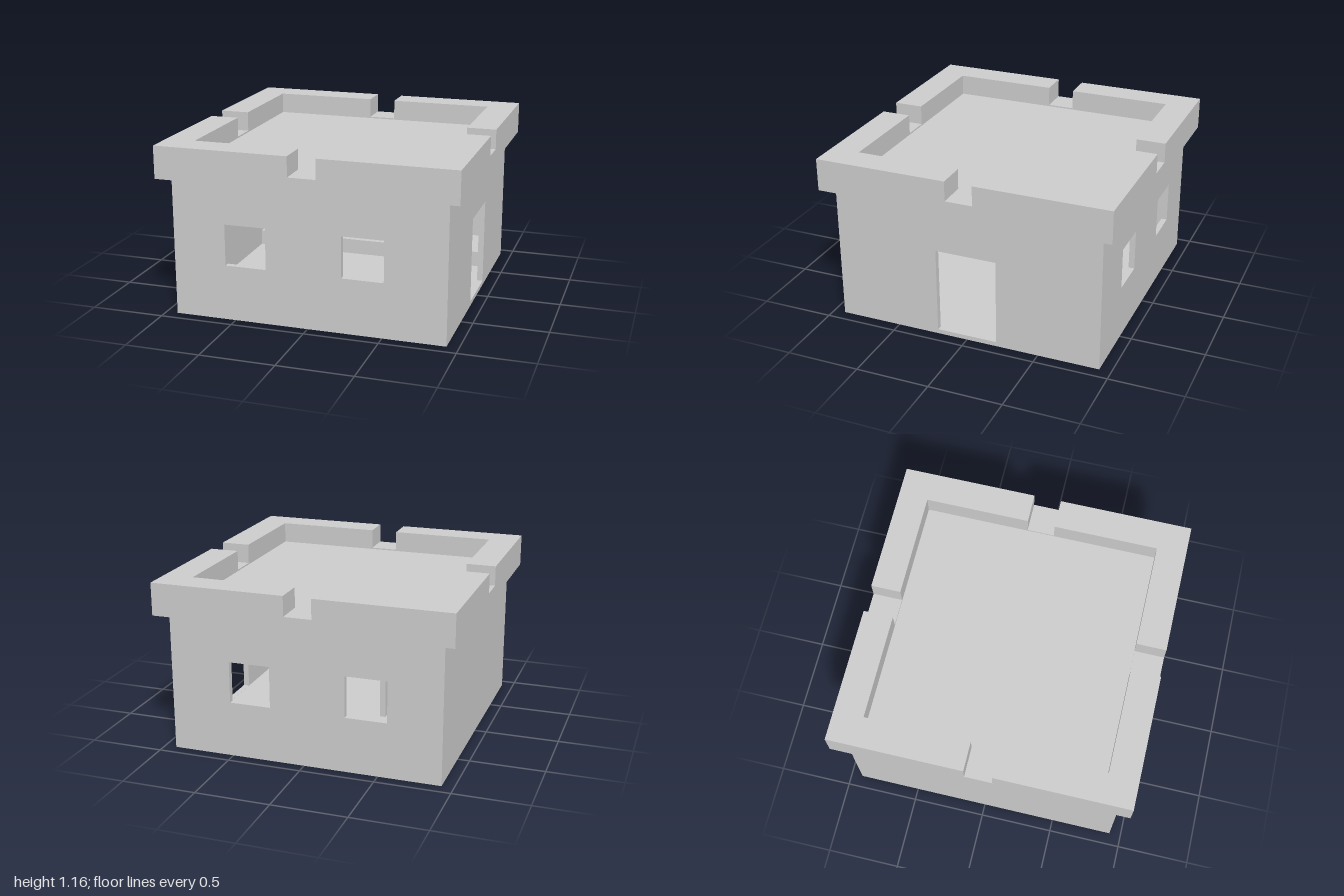
import * as THREE from 'three';

const material = new THREE.MeshStandardMaterial({ color: 0xcccccc, flatShading: true });
const WALL = 0.92, T = 0.04, FLOOR = 0.03, EAVE = 0.93;

function shapeOf(points) {
  return new THREE.Shape(points.map(([x, y]) => new THREE.Vector2(x, y)));
}

function rect(x0, x1, y0, y1) {
  return shapeOf([[x0, y0], [x1, y0], [x1, y1], [x0, y1]]);
}

export function createModel() {
  const model = new THREE.Group();

  function add(name, geometry) {
    const mesh = new THREE.Mesh(geometry, material);
    mesh.name = name;
    model.add(mesh);
    return mesh;
  }

  function box(name, x0, x1, y0, y1, z0, z1) {
    add(name, new THREE.BoxGeometry(x1 - x0, y1 - y0, z1 - z0))
      .position.set((x0 + x1) / 2, (y0 + y1) / 2, (z0 + z1) / 2);
  }

  // upright wall panel with its outer face at WALL, turned about y
  function wall(name, halfWidth, holes, angle) {
    const shape = rect(-halfWidth, halfWidth, FLOOR, EAVE);
    shape.holes.push(...holes);
    const geometry = new THREE.ExtrudeGeometry(shape, { depth: T, bevelEnabled: false });
    geometry.translate(0, 0, WALL - T);
    geometry.rotateY(angle);
    add(name, geometry);
  }

  // horizontal slab from a plan shape
  function slab(name, shape, y0, y1, angle = 0) {
    const geometry = new THREE.ExtrudeGeometry(shape, { depth: y1 - y0, bevelEnabled: false });
    geometry.rotateX(-Math.PI / 2);
    geometry.translate(0, y0, 0);
    geometry.rotateY(angle);
    add(name, geometry);
  }

  // walls: two windows front and back, a doorway on the +x side
  const windows = [[-0.56, -0.28], [0.23, 0.51]];
  const frontHoles = windows.map(([a, b]) => rect(a, b, 0.375, 0.655));
  const backHoles = windows.map(([a, b]) => rect(-b, -a, 0.375, 0.655));
  wall('frontWall', WALL, frontHoles, 0);
  wall('backWall', WALL, backHoles, Math.PI);
  wall('doorWall', WALL - T, [rect(-0.21, 0.21, FLOOR + 0.001, 0.62)], Math.PI / 2);
  wall('blankWall', WALL - T, [], -Math.PI / 2);

  // floor and interior
  box('floor', -WALL, WALL, 0, FLOOR, -WALL, WALL);
  box('partition', -0.28, -0.24, FLOOR, 0.475, -0.04, WALL - T);
  box('backPlatform', -WALL + T, WALL - T, FLOOR, 0.14, -WALL + T, -0.5);

  // sloping eave that also closes the ceiling
  const eave = new THREE.CylinderGeometry(Math.SQRT2, WALL * Math.SQRT2, 0.015, 4);
  eave.rotateY(Math.PI / 4);
  eave.translate(0, EAVE + 0.0075, 0);
  add('eave', eave);

  // roof deck and parapet with a notch in the middle of each side
  box('roofDeck', -0.8, 0.8, 0.945, 1.02, -0.8, 0.8);
  const ring = rect(-1, 1, -1, 1);
  ring.holes.push(rect(-0.8, 0.8, -0.8, 0.8));
  slab('parapetBase', ring, 0.945, 1.03);
  const n = 0.093;
  const corner = shapeOf([[1, n], [1, 1], [n, 1], [n, 0.8], [0.8, 0.8], [0.8, n]]);
  for (let i = 0; i < 4; i++) slab('parapetCorner', corner, 1.03, 1.165, i * Math.PI / 2);

  return model;
}
